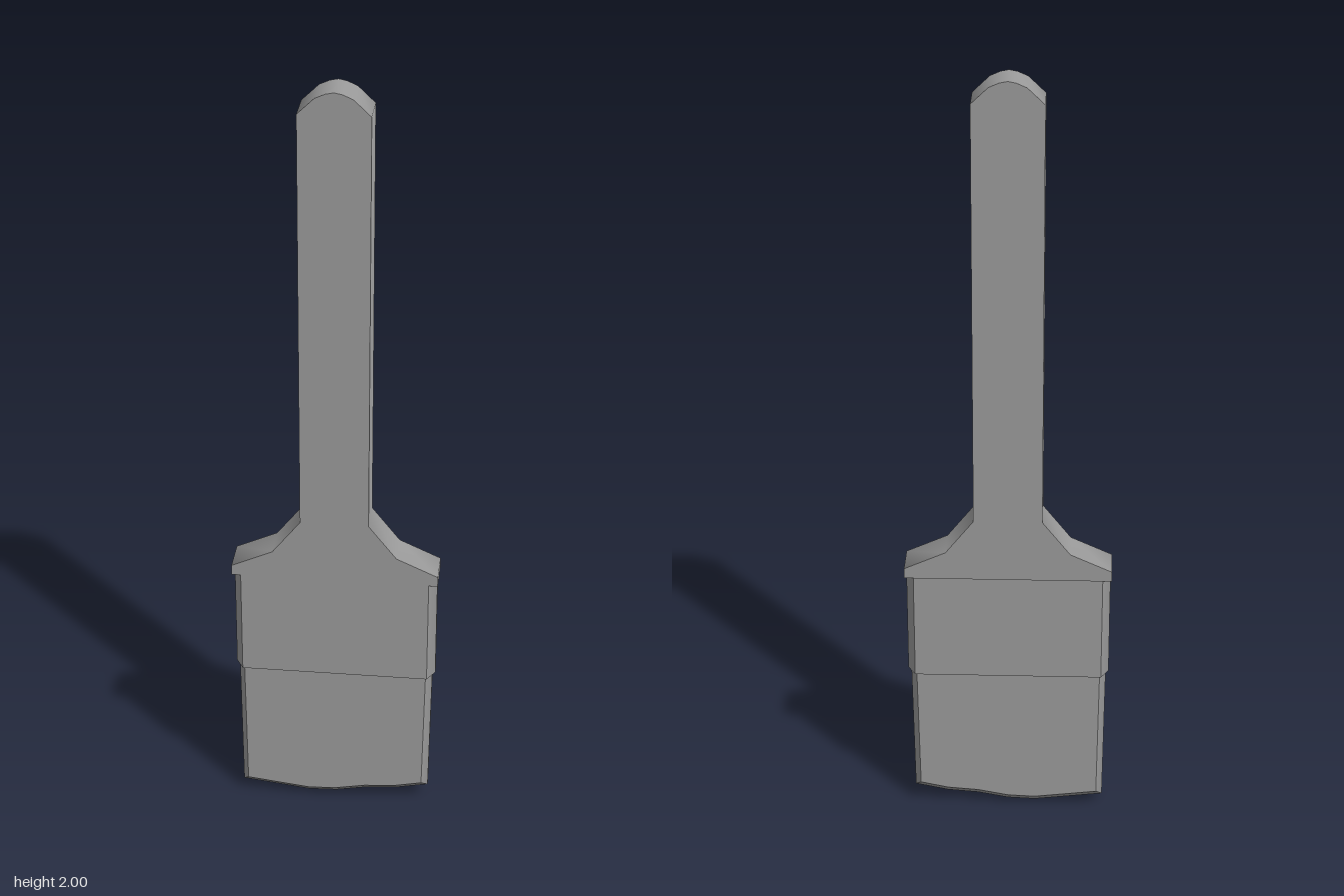
import * as THREE from 'three';
import { toCreasedNormals } from 'three/addons/utils/BufferGeometryUtils.js';

const outline = (pts) => new THREE.Shape(pts.map(([x, y]) => new THREE.Vector2(x, y)));

export function createModel() {
  const group = new THREE.Group();
  const material = new THREE.MeshStandardMaterial({ color: 0x9b9b9b });
  const add = (name, geometry, crease) => {
    const mesh = new THREE.Mesh(toCreasedNormals(geometry, crease), material);
    mesh.name = name;
    group.add(mesh);
  };

  // Handle: mirrored flat outline, rounded tip and flared shoulders
  const half = [
    [0.264, 0.695], [0.264, 0.722], [0.158, 0.77], [0.087, 0.86],
    [0.087, 1.945], [0.045, 1.985], [0.02, 1.996],
  ];
  const mirrored = half.map(([x, y]) => [-x, y]).reverse();
  const handle = new THREE.ExtrudeGeometry(
    outline([...half, [0, 2], ...mirrored]), { depth: 0.095, bevelEnabled: false });
  handle.translate(0, 0, -0.0485);
  add('handle', handle, 1.2);

  // Ferrule: chamfered band extruded upwards, soft across its narrow sides
  const corner = [[0.261, 0.01], [0.241, 0.045]];
  const flip = (sx, sy) => corner.map(([x, y]) => [x * sx, y * sy]);
  const section = [
    ...flip(1, 1), ...flip(-1, 1).reverse(), ...flip(-1, -1), ...flip(1, -1).reverse(),
  ];
  const ferrule = new THREE.ExtrudeGeometry(outline(section), { depth: 0.29, bevelEnabled: false });
  ferrule.rotateX(-Math.PI / 2);
  ferrule.translate(0, 0.408, 0);
  add('ferrule', ferrule, 0.7);

  // Bristles: tapering block with an uneven, bevelled lower edge
  const bristles = new THREE.ExtrudeGeometry(outline([
    [-0.234, 0.047], [-0.07, 0.027], [0, 0.03], [0.08, 0.045],
    [0.16, 0.051], [0.232, 0.066], [0.238, 0.44], [-0.238, 0.44],
  ]), { depth: 0.016, bevelEnabled: true, bevelSize: 0.016, bevelThickness: 0.027, bevelSegments: 1 });
  // draw the middle of the lower edge down to a blunt point
  const pos = bristles.attributes.position;
  for (let i = 0; i < pos.count; i++) {
    const middle = pos.getZ(i) > -0.005 && pos.getZ(i) < 0.021;
    if (middle && pos.getY(i) < 0.1) pos.setY(i, pos.getY(i) - 0.01);
  }
  bristles.translate(0, 0, -0.008);
  add('bristles', bristles, 0.72);

  return group;
}
